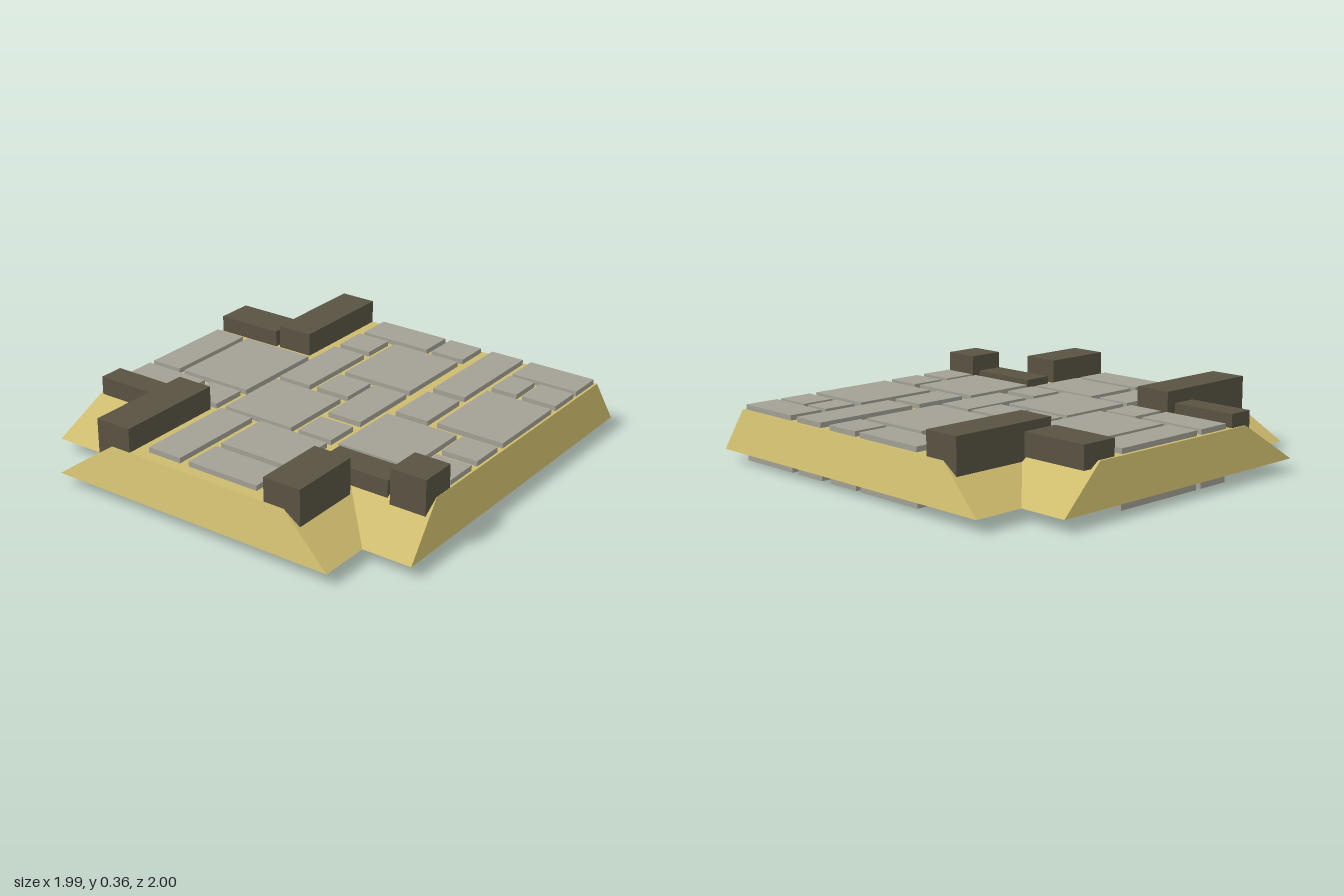
import * as THREE from 'three';

const mat = (name, color) => {
  const m = new THREE.MeshStandardMaterial({ color, side: THREE.DoubleSide });
  m.name = name;
  return m;
};

// Box without its underside, given by its extents
function openBox(name, [x0, x1, z0, z1], y0, y1, material) {
  const geo = new THREE.BoxGeometry(x1 - x0, y1 - y0, z1 - z0);
  const index = Array.from(geo.index.array);
  index.splice(18, 6); // drop the bottom face
  geo.setIndex(index);
  geo.clearGroups();
  const mesh = new THREE.Mesh(geo, material);
  mesh.name = name;
  mesh.position.set((x0 + x1) / 2, (y0 + y1) / 2, (z0 + z1) / 2);
  return mesh;
}

// Sloping wall between a bottom and a top outline of [x, z] points
function skirtGeometry(bottom, top, y0, y1) {
  const pos = [];
  bottom.forEach((a, i) => {
    const j = (i + 1) % bottom.length;
    const b = bottom[j], at = top[i], bt = top[j];
    const A = [a[0], y0, a[1]], B = [b[0], y0, b[1]];
    const AT = [at[0], y1, at[1]], BT = [bt[0], y1, bt[1]];
    pos.push(...A, ...AT, ...B, ...B, ...AT, ...BT);
  });
  const geo = new THREE.BufferGeometry();
  geo.setAttribute('position', new THREE.Float32BufferAttribute(pos, 3));
  geo.computeVertexNormals();
  return geo;
}

// Square outline with three notched corners; the back left-hand (+x) corner is whole
const outline = (e, f, n) => [
  [e, -f], [e, n], [n, n], [n, f], [-n, f], [-n, n],
  [-e, n], [-e, -n], [-n, -n], [-n, -f],
];

// Paving stones, one row each: x0, x1, z0, z1
const stonesBack = [
  [-0.295, 0.085, -0.92, -0.745], [0.115, 0.295, -0.92, -0.745],
  [0.36, 0.535, -0.92, -0.38], [0.58, 0.925, -0.92, -0.745],
  [-0.305, -0.13, -0.72, -0.55], [-0.085, 0.29, -0.71, -0.285],
  [0.58, 0.715, -0.72, -0.55], [0.745, 0.925, -0.72, -0.55],
  [-0.31, -0.13, -0.51, -0.06], [0.58, 0.925, -0.51, -0.075],
];
const stonesMiddle = [
  [-0.92, -0.755, -0.33, 0.16], [-0.725, -0.34, -0.33, 0.16],
  [-0.09, 0.09, -0.25, -0.065], [0.115, 0.295, -0.25, 0.125],
  [0.36, 0.535, -0.335, -0.065], [-0.305, 0.075, 0.0 - 0.025, 0.355],
  [0.34, 0.715, 0.02 - 0.045, 0.355], [0.745, 0.925, -0.03, 0.14],
];
const stonesFront = [
  [0.745, 0.925, 0.185, 0.355], [0.115, 0.295, 0.18, 0.35],
  [-0.92, -0.57, 0.19, 0.36], [-0.535, -0.355, 0.185, 0.36],
  [-0.31, -0.13, 0.38, 0.88], [-0.08, 0.295, 0.38, 0.66],
  [-0.08, 0.295, 0.695, 0.88],
];

// Kerb blocks: extents, then bottom and top height
const kerbs = [
  [[-0.56, -0.375, -0.935, -0.385], 0.185, 0.36],
  [[-0.925, -0.58, -0.565, -0.38], 0.215, 0.325],
  [[-0.93, -0.595, 0.39, 0.515], 0.215, 0.31],
  [[-0.56, -0.375, 0.38, 0.935], 0.185, 0.36],
  [[0.375, 0.73, 0.395, 0.54], 0.195, 0.285],
  [[0.755, 0.935, 0.375, 0.56], 0.185, 0.36],
  [[0.375, 0.565, 0.58, 0.935], 0.185, 0.36],
];

export function createModel() {
  const model = new THREE.Group();
  model.name = 'pavedPlatform';
  const sand = mat('sand', 0xcdbb6d);
  const stone = mat('stone', 0xa3a196);
  const darkStone = mat('darkStone', 0x595343);

  // Sand base: sloping skirt and flat top, open below
  const y0 = 0.057, y1 = 0.245;
  const top = outline(0.937, 0.935, 0.48);
  const base = new THREE.Group();
  base.name = 'sandBase';
  const skirt = new THREE.Mesh(skirtGeometry(outline(0.993, 1, 0.748), top, y0, y1), sand);
  skirt.name = 'skirt';
  const shape = new THREE.Shape(top.map(([x, z]) => new THREE.Vector2(x, -z)));
  const bed = new THREE.Mesh(new THREE.ShapeGeometry(shape).rotateX(-Math.PI / 2), sand);
  bed.name = 'bed';
  bed.position.y = y1;
  base.add(skirt, bed);

  // Paving stones, standing through the bed
  const paving = new THREE.Group();
  paving.name = 'paving';
  for (const s of [...stonesBack, ...stonesMiddle, ...stonesFront])
    paving.add(openBox('pavingStone', s, 0, 0.27, stone));

  // Dark kerb blocks round the notched corners
  const kerb = new THREE.Group();
  kerb.name = 'kerb';
  for (const [extents, b, t] of kerbs) kerb.add(openBox('kerbBlock', extents, b, t, darkStone));

  model.add(base, paving, kerb);
  return model;
}
